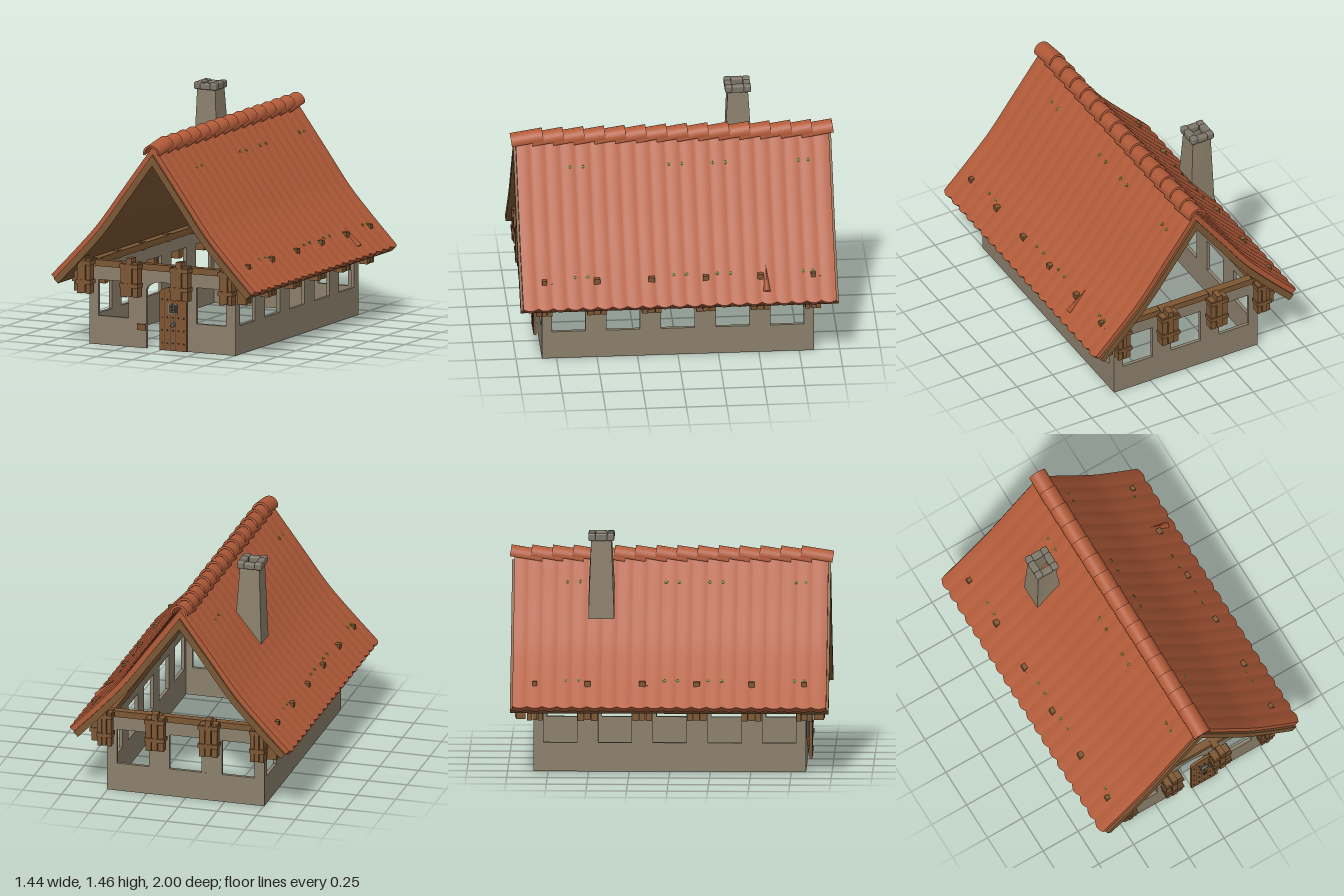
import * as THREE from 'three';
import { RoundedBoxGeometry } from 'three/addons/geometries/RoundedBoxGeometry.js';

const mat = (name, color) => Object.assign(new THREE.MeshStandardMaterial({ color }), { name });

export function createModel() {
  const tile = mat('clay tile', 0xb25b39);
  tile.side = THREE.DoubleSide;
  const plaster = mat('plaster', 0x8c806c);
  plaster.side = THREE.DoubleSide;
  const wood = mat('timber', 0x7d5733);
  const doorWood = mat('door wood', 0x7f5430);
  const iron = mat('iron', 0x3f3a34);
  const stone = mat('stone', 0x7d776a);
  const moss = mat('moss', 0x667020);
  const model = new THREE.Group();

  const add = (parent, name, geo, material, x = 0, y = 0, z = 0) => {
    const m = new THREE.Mesh(geo, material);
    m.name = name;
    m.position.set(x, y, z);
    parent.add(m);
    return m;
  };
  const box = (parent, name, material, x0, x1, y0, y1, z0, z1) =>
    add(parent, name, new THREE.BoxGeometry(x1 - x0, y1 - y0, z1 - z0), material,
      (x0 + x1) / 2, (y0 + y1) / 2, (z0 + z1) / 2);
  const rect = (shape, x0, x1, y0, y1) =>
    shape.moveTo(x0, y0).lineTo(x1, y0).lineTo(x1, y1).lineTo(x0, y1).closePath();

  // Walls: thin panels with window openings, open at top and bottom
  const WALL = 0.022, H = 0.49;
  const wall = (name, half, windows, door) => {
    const s = new THREE.Shape();
    s.moveTo(-half, 0);
    if (door) {
      s.lineTo(-0.11, 0).lineTo(-0.11, 0.36);
      s.absellipse(0, 0.36, 0.11, 0.06, Math.PI, 0, true, 0);
      s.lineTo(0.11, 0);
    }
    s.lineTo(half, 0).lineTo(half, H).lineTo(-half, H).closePath();
    for (const c of windows) s.holes.push(rect(new THREE.Path(), c - 0.103, c + 0.103, 0.18, 0.405));
    const geo = new THREE.ExtrudeGeometry(s, { depth: WALL, bevelEnabled: false, curveSegments: 16 });
    return add(model, name, geo, plaster);
  };
  wall('frontWall', 0.505, [-0.338, 0.338], true).position.z = 0.84 - WALL;
  wall('backWall', 0.505, [-0.338, 0, 0.338], false).position.z = -0.84;
  for (const sx of [1, -1]) {
    const w = wall('sideWall', 0.84, [-0.675, -0.338, 0, 0.338, 0.675], false);
    w.rotation.y = sx * Math.PI / 2;
    w.position.x = sx * (0.505 - WALL);
    box(model, 'sideWallPlate', wood, sx * 0.485 - 0.025, sx * 0.485 + 0.025, H, 0.53, -0.85, 0.85);
    box(model, 'endWallPlate', wood, -0.51, 0.51, H, 0.53, sx * 0.825 - 0.025, sx * 0.825 + 0.025);
  }

  // Brackets: three hanging planks strapped together and tied to the wall
  const bracket = (x, z, turn, width) => {
    const g = new THREE.Group();
    g.name = 'bracket';
    const w = width / 3;
    [[0.33, 0.54, 0.095], [0.335, 0.575, 0.1], [0.33, 0.55, 0.092]].forEach(([y0, y1, d], i) => {
      const cx = (i - 1) * w;
      box(g, 'bracketPlank', wood, cx - w / 2 + 0.002, cx + w / 2 - 0.002, y0, y1, 0.035, d);
    });
    for (const y of [0.39, 0.51])
      box(g, 'bracketStrap', wood, -width / 2 - 0.004, width / 2 + 0.004, y, y + 0.026, 0.03, 0.103);
    box(g, 'bracketTie', wood, -w / 2, w / 2, 0.485, 0.535, -0.04, 0.04);
    g.position.set(x, 0, z);
    g.rotation.y = turn;
    model.add(g);
  };
  for (const s of [1, -1]) {
    for (const [x, w] of [[-0.49, 0.09], [-0.175, 0.12], [0.168, 0.12], [0.49, 0.09]])
      bracket(x, s * 0.855, s > 0 ? 0 : Math.PI, w);
    for (const [z, w] of [[0.83, 0.1], [0.505, 0.125], [0.168, 0.125]])
      for (const sz of [1, -1]) bracket(s * 0.5, sz * z, s * Math.PI / 2, w);
  }

  // Roof: boxes bent along a slightly flared slope
  const slope = new THREE.CatmullRomCurve3([[0, 1.17], [0.17, 0.94], [0.33, 0.725], [0.48, 0.56], [0.65, 0.385]]
    .map(([x, y]) => new THREE.Vector3(x, y, 0)));
  const roofAt = (s, t, z, extend = 0) => {
    const p = slope.getPoint(s), d = slope.getTangent(s);
    if (s < 0.001) return new THREE.Vector3(0, p.y + t / d.x, z);
    return new THREE.Vector3(p.x - d.y * t + d.x * extend, p.y + d.x * t + d.y * extend, z);
  };
  const roofLayer = (t0, t1, length, segZ, wave) => {
    const geo = new THREE.BoxGeometry(1, 1, 1, 16, 1, segZ);
    const p = geo.attributes.position;
    for (let i = 0; i < p.count; i++) {
      const s = Math.min(1, Math.max(0, p.getX(i) + 0.5)), top = p.getY(i) > 0, z = p.getZ(i);
      const ripple = wave * Math.abs(Math.sin(Math.PI * 21 * (z + 0.5)));
      const v = roofAt(s, top ? t1 + ripple * 0.4 : t0, z * length, s > 0.99 ? ripple * 1.4 : 0);
      p.setXYZ(i, v.x, v.y, v.z);
    }
    geo.computeVertexNormals();
    return geo;
  };
  const deckGeo = roofLayer(0, 0.041, 1.965, 1, 0);
  const tileGeo = roofLayer(0.041, 0.073, 1.935, 168, 0.012);
  const mossGeo = new THREE.IcosahedronGeometry(0.012, 0).scale(1, 0.3, 1.2);
  for (const turn of [0, Math.PI]) {
    const side = new THREE.Group();
    side.name = turn ? 'leftRoofSlope' : 'rightRoofSlope';
    side.rotation.y = turn;
    add(side, 'roofBoards', deckGeo, wood);
    add(side, 'roofTiles', tileGeo, tile);
    // Moss tufts in two rows
    for (const s of [0.1, 0.8])
      for (const z of [0.64, 0.56, 0.03, -0.05, -0.24, -0.32, -0.77, -0.83]) {
        const m = add(side, 'moss', mossGeo, moss);
        m.position.copy(roofAt(s, 0.077, z));
        m.rotation.z = -0.9;
      }
    model.add(side);
  }
  // Lifted tile edge on one slope
  const lifted = add(model, 'liftedTile', new THREE.ConeGeometry(0.022, 0.22, 4), tile);
  lifted.position.copy(roofAt(0.82, 0.075, -0.54));
  lifted.rotation.z = 0.8;

  // Ridge: overlapping half-round tiles, each tipped up at the back
  const arc = new THREE.Shape();
  arc.absarc(0, 0, 0.056, -0.15, Math.PI + 0.15, false);
  arc.absarc(0, 0, 0.042, Math.PI + 0.15, -0.15, true);
  const ridgeGeo = new THREE.ExtrudeGeometry(arc, { depth: 0.2, bevelEnabled: false, curveSegments: 10 });
  for (let i = 0; i < 15; i++) {
    const r = add(model, 'ridgeTile', ridgeGeo, tile, 0, 1.276, 0.796 - i * 0.1279);
    r.rotation.x = 0.16;
  }

  // Chimney: hollow tapered shaft with a sloping foot
  const shaft = new THREE.CylinderGeometry(0.062 * Math.SQRT2, 0.08 * Math.SQRT2, 1, 4, 1, true)
    .rotateY(Math.PI / 4).toNonIndexed();
  const sp = shaft.attributes.position;
  for (let i = 0; i < sp.count; i++) {
    const x = sp.getX(i) - 0.307;
    sp.setXYZ(i, x, sp.getY(i) > 0 ? 1.43 : 0.93 + (x + 0.388) * 1.25, sp.getZ(i) - 0.425);
  }
  shaft.computeVertexNormals();
  add(model, 'chimneyShaft', shaft, plaster);
  // Ring of rounded cap stones
  for (let i = -1; i <= 1; i++)
    for (let j = -1; j <= 1; j++) {
      if (!i && !j) continue;
      const h = 0.04 + 0.006 * ((i + 2 * j + 4) % 2);
      add(model, 'chimneyCapStone', new RoundedBoxGeometry(i ? 0.044 : 0.07, h, j ? 0.044 : 0.074, 2, 0.009),
        stone, -0.308 + i * 0.055, 1.418 + h / 2, -0.425 + j * 0.058);
    }

  // Door: arched leaf standing in front of the opening
  const door = new THREE.Group();
  door.name = 'door';
  door.position.set(0.087, 0, 0.85);
  model.add(door);
  const leaf = new THREE.Shape();
  leaf.moveTo(-0.093, 0.003).lineTo(0.093, 0.003).lineTo(0.093, 0.36);
  leaf.absellipse(0, 0.36, 0.093, 0.04, 0, Math.PI, false, 0);
  leaf.closePath();
  leaf.holes.push(rect(new THREE.Path(), -0.025, 0.025, 0.24, 0.293));
  add(door, 'doorLeaf', new THREE.ExtrudeGeometry(leaf, { depth: 0.018, bevelEnabled: false, curveSegments: 14 }), doorWood);
  // Plank joints, studs, barred window and ring handle
  for (const x of [-0.056, -0.019, 0.019, 0.056]) {
    if (Math.abs(x) > 0.03) box(door, 'plankJoint', iron, x - 0.001, x + 0.001, 0.004, 0.38, 0.017, 0.019);
    else box(door, 'plankJoint', iron, x - 0.001, x + 0.001, 0.004, 0.235, 0.017, 0.019);
  }
  const stud = new THREE.SphereGeometry(0.0045, 8, 6);
  for (const y of [0.05, 0.13, 0.21, 0.32])
    for (const x of [-0.075, -0.038, 0, 0.038, 0.075]) add(door, 'stud', stud, iron, x, y, 0.019);
  for (const s of [-1, 1]) {
    box(door, 'windowFrameUpright', stone, s * 0.026 - 0.004, s * 0.026 + 0.004, 0.235, 0.298, -0.003, 0.023);
    box(door, 'windowFrameRail', stone, -0.03, 0.03, 0.2665 + s * 0.028 - 0.004, 0.2665 + s * 0.028 + 0.004, -0.003, 0.023);
    box(door, 'windowBar', iron, s * 0.009 - 0.002, s * 0.009 + 0.002, 0.24, 0.293, 0.007, 0.011);
    box(door, 'windowCrossBar', iron, -0.025, 0.025, 0.2665 + s * 0.009 - 0.002, 0.2665 + s * 0.009 + 0.002, 0.007, 0.011);
  }
  const plate = box(door, 'handlePlate', stone, -0.015, 0.015, 0.155, 0.185, 0.016, 0.022);
  plate.rotation.z = Math.PI / 4;
  add(door, 'handleRing', new THREE.TorusGeometry(0.012, 0.0025, 6, 16), iron, 0, 0.164, 0.026);

  // Small block beside the doorway
  box(model, 'wallBlock', doorWood, -0.17, -0.11, 0.112, 0.15, 0.83, 0.852);

  return model;
}
